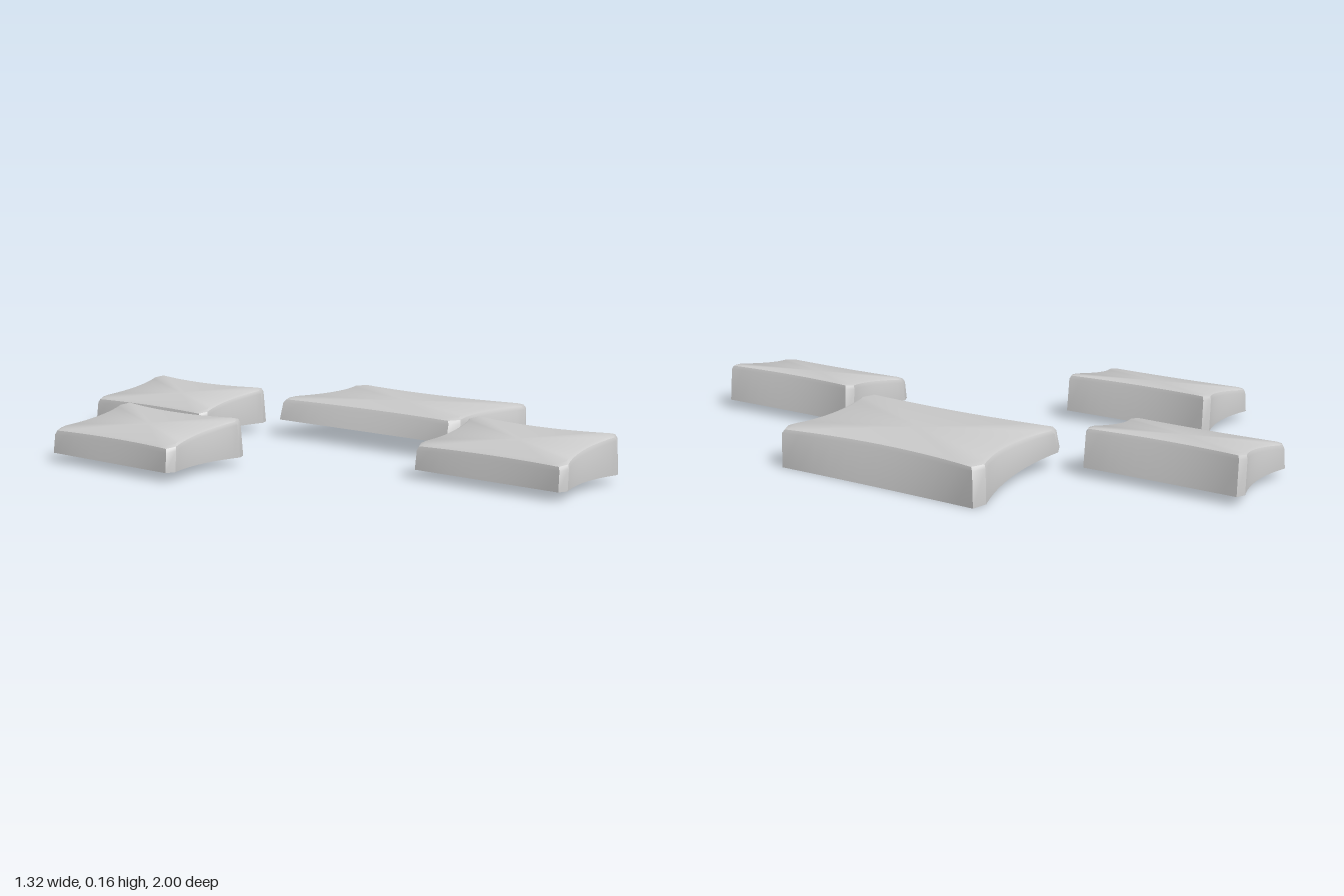
import * as THREE from 'three';
import { toCreasedNormals } from 'three/addons/utils/BufferGeometryUtils.js';

const STEPS = 12; // segments along each side
const CHAMFER_X = 0.03, CHAMFER_Z = 0.014;

// wedge height: low at -x, high at +x
const wedgeHeight = (x) => 0.077 + (x + 0.18) * 0.15;

// Levels from the base to the top face; the pinches bow each side inward.
const LEVELS = [
  { left: -0.18, right: 0.18, end: 0.273, pinchL: 0, pinchR: 0.002, pinchZ: 0.025, y: () => 0 },
  { left: -0.173, right: 0.17, end: 0.271, pinchL: 0.012, pinchR: 0.024, pinchZ: 0.025, y: (x) => wedgeHeight(x) - 0.017 },
  { left: -0.168, right: 0.165, end: 0.266, pinchL: 0.012, pinchR: 0.024, pinchZ: 0.025, y: (x) => wedgeHeight(x) - 0.005 },
  { left: -0.156, right: 0.153, end: 0.254, pinchL: 0.012, pinchR: 0.024, pinchZ: 0.025, y: wedgeHeight },
];

// One closed outline, counter-clockwise from above, with cut corners
function outline({ left, right, end, pinchL, pinchR, pinchZ, y }) {
  const points = [];
  const add = (x, z) => points.push([x, y(x), z]);
  const mid = (left + right) / 2, halfX = (right - left) / 2 - CHAMFER_X;
  const halfZ = end - CHAMFER_Z;
  const side = (place) => {
    for (let i = 0; i <= STEPS; i++) {
      const t = (i / STEPS) * 2 - 1;
      place(t, 1 - t * t);
    }
  };
  side((t, bow) => add(mid + t * halfX, end - pinchZ * bow));
  side((t, bow) => add(right - pinchR * bow, -t * halfZ));
  side((t, bow) => add(mid - t * halfX, -end + pinchZ * bow));
  side((t, bow) => add(left + pinchL * bow, t * halfZ));
  return points;
}

function padGeometry() {
  const rings = LEVELS.map(outline);
  const n = rings[0].length;
  const positions = rings.flat(2);
  const index = [];
  // walls and rounded rim
  for (let r = 0; r < rings.length - 1; r++) {
    for (let i = 0; i < n; i++) {
      const a = r * n + i, b = r * n + ((i + 1) % n);
      index.push(a, b, b + n, a, b + n, a + n);
    }
  }
  // base and top face
  const base = rings.length * n, top = base + 1, last = (rings.length - 1) * n;
  positions.push(0, 0, 0, 0, wedgeHeight(0), 0);
  for (let i = 0; i < n; i++) {
    const j = (i + 1) % n;
    index.push(base, j, i, top, last + i, last + j);
  }
  const geometry = new THREE.BufferGeometry();
  geometry.setAttribute('position', new THREE.Float32BufferAttribute(positions, 3));
  geometry.setIndex(index);
  return toCreasedNormals(geometry, 0.6);
}

export function createModel() {
  const model = new THREE.Group();
  const material = new THREE.MeshStandardMaterial({ color: 0xcccccc });
  const geometry = padGeometry();

  const addPad = (name, x, z, scale = 1, tilt = 0) => {
    const pad = new THREE.Mesh(geometry, material);
    pad.name = name;
    pad.position.set(x, 0.03, z);
    pad.scale.set(scale, 1, scale);
    pad.rotation.z = tilt;
    model.add(pad);
  };

  // three small wedge pads
  addPad('frontPad', 0.048, 0.727);
  addPad('backPad', 0.048, -0.727);
  addPad('sidePad', -0.483, -0.36);
  // larger pad, tilted so that its top is nearly level
  addPad('largePad', 0.411, 0.02, 1.4, -0.118);
  return model;
}
